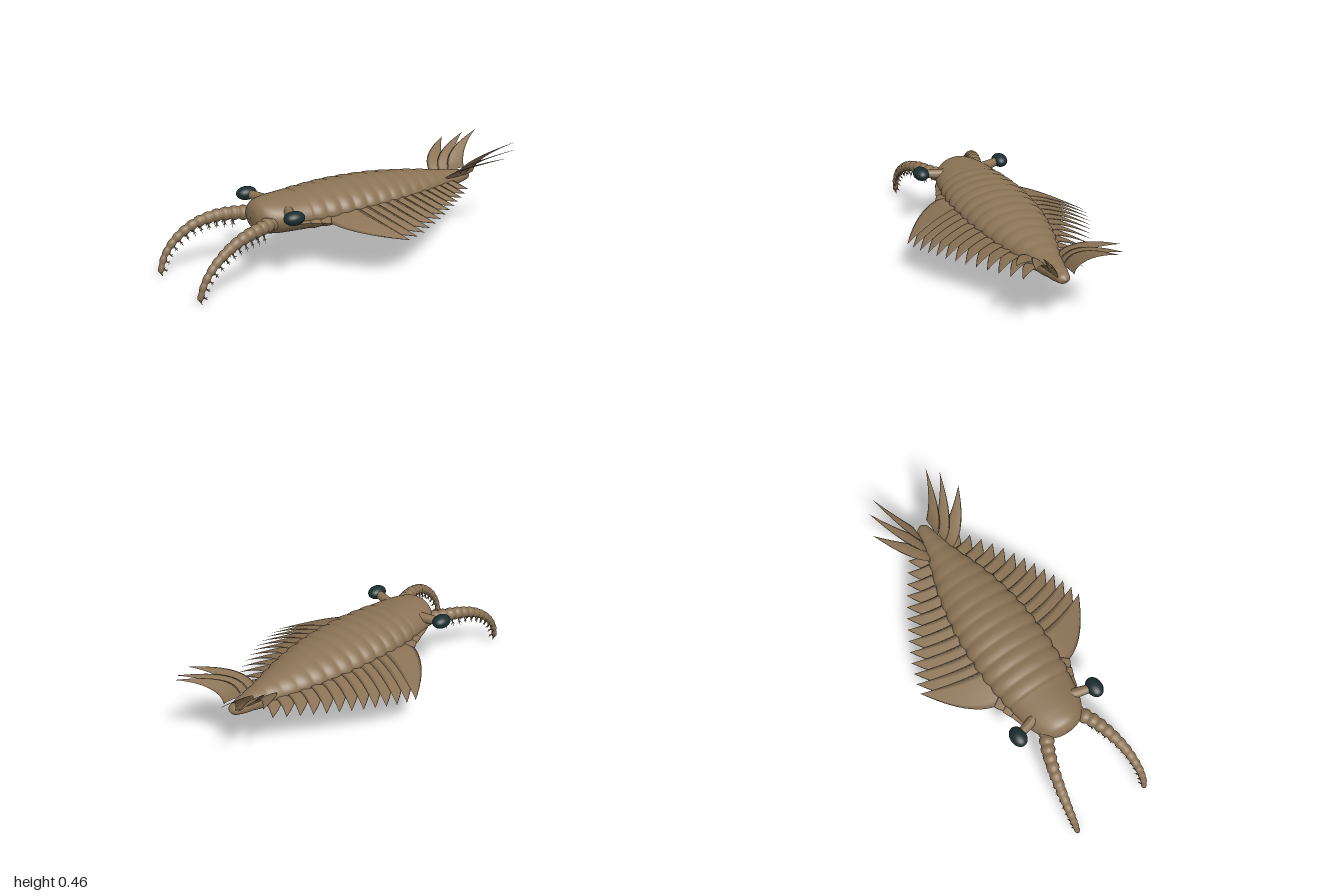
import * as THREE from 'three';

const brown = new THREE.MeshStandardMaterial({ color: 0x8b7355 });
brown.name = 'shell brown';
const dark = new THREE.MeshStandardMaterial({ color: 0x1c2e30 });
dark.name = 'eye dark teal';

const V = (x, y, z) => new THREE.Vector3(x, y, z);

// Closed skin over a list of rings, each with the same number of points
function loft(rings) {
  const n = rings[0].length, pos = [], idx = [];
  rings.forEach(r => r.forEach(p => pos.push(p.x, p.y, p.z)));
  for (let i = 0; i < rings.length - 1; i++) {
    for (let j = 0; j < n; j++) {
      const a = i * n + j, b = i * n + (j + 1) % n, c = a + n, d = b + n;
      idx.push(a, b, c, b, d, c);
    }
  }
  const g = new THREE.BufferGeometry();
  g.setAttribute('position', new THREE.Float32BufferAttribute(pos, 3));
  g.setIndex(idx);
  g.computeVertexNormals();
  return g;
}

function ring(n, fn) {
  return Array.from({ length: n }, (_, j) => {
    const a = j / n * Math.PI * 2;
    return fn(Math.cos(a), Math.sin(a));
  });
}

function add(parent, name, geo, mat = brown) {
  const m = new THREE.Mesh(geo, mat);
  m.name = name;
  parent.add(m);
  return m;
}

// Cone from a point along a direction
function spike(parent, name, from, dir, length, radius) {
  const d = dir.clone().normalize();
  const m = add(parent, name, new THREE.ConeGeometry(radius, length, 6));
  m.position.copy(from).addScaledVector(d, length / 2);
  m.quaternion.setFromUnitVectors(V(0, 1, 0), d);
  return m;
}

// Body profile: x, half width, half height
const profile = new THREE.CatmullRomCurve3([
  [-0.582, 0.002, 0.002], [-0.572, 0.065, 0.05], [-0.545, 0.108, 0.08], [-0.48, 0.148, 0.092],
  [-0.35, 0.178, 0.096], [-0.15, 0.202, 0.104], [0, 0.203, 0.105], [0.2, 0.187, 0.098],
  [0.4, 0.145, 0.083], [0.6, 0.08, 0.058], [0.74, 0.045, 0.036], [0.79, 0.031, 0.024],
  [0.81, 0.002, 0.002]].map(p => V(...p)));
const samples = profile.getPoints(288);
const midY = x => 0.302 - 0.02 * THREE.MathUtils.smoothstep(x, 0, 0.8);
const halfWidth = x => samples.find(p => p.x >= x).y;

function bodyGeometry() {
  return loft(samples.map(p => {
    // scalloped segments behind the smooth head
    const k = p.x > -0.32 && p.x < 0.79
      ? 0.955 + 0.055 * Math.abs(Math.sin((p.x + 0.32) / 0.078 * Math.PI)) : 0.985;
    return ring(48, (c, s) => V(p.x, midY(p.x) + p.z * k * c, p.y * k * s));
  }));
}

// Thin swept blade: root chord narrowing to a pointed tip
function blade({ x, z, y, chord, tip, rise, pitch, sweep = 2, thick = 0.005 }) {
  const N = 14, rings = [];
  for (let i = 0; i <= N; i++) {
    const s = i / N;
    const lead = x + (tip.x - x) * s ** sweep;
    const trail = x + chord + (tip.x - x - chord) * s ** 1.5;
    const half = Math.max((trail - lead) / 2, 0.0005), mid = (lead + trail) / 2;
    const py = y + (tip.y - y) * s ** rise;
    const t = thick * (1 - 0.85 * s);
    rings.push(ring(8, (c, q) => V(mid + half * c, py + pitch * half * c + t * q, z + (tip.z - z) * s)));
  }
  return loft(rings);
}

function buildSide(side) {
  // Small flaps beside the head
  for (let i = 0; i < 4; i++) {
    const x = -0.46 + 0.06 * i, z = halfWidth(x) * 0.88;
    add(side, 'headFlap', blade({
      x, z, y: 0.296, chord: 0.12, rise: 1.2, pitch: 0.12,
      tip: V(-0.35 + 0.045 * i, 0.285 - 0.004 * i, 0.195 + 0.02 * i),
    }));
  }

  // Overlapping swimming flaps, shorter toward the tail
  for (let i = 0; i < 13; i++) {
    const t = i / 12, x = -0.27 + 0.82 * t, z = halfWidth(x + 0.05) * 0.88;
    const tipZ = 0.5 - 0.34 * t ** 1.4, y = midY(x) - 0.003;
    add(side, 'swimmingFlap', blade({
      x, z, y, chord: 0.2 - 0.1 * t, rise: 1.3, pitch: 0.12,
      tip: V(0.03 + 0.65 * t, y - 0.27 * (tipZ - z), tipZ),
    }));
  }

  // Raised tail fan
  [[0.59, 0.06, 0.83, 0.43, 0.265], [0.645, 0.05, 0.94, 0.45, 0.22], [0.7, 0.04, 0.99, 0.472, 0.165]]
    .forEach(([x, z, tx, ty, tz]) => add(side, 'tailBlade', blade({
      x, z, y: midY(x) + 0.02, chord: 0.11, rise: 0.7, pitch: 0.1, tip: V(tx, ty, tz), thick: 0.006,
    })));

  // Eye on a short stalk
  const stalk = add(side, 'eyeStalk', new THREE.CylinderGeometry(0.022, 0.028, 0.12, 16));
  const from = V(-0.435, 0.34, 0.11), to = V(-0.467, 0.346, 0.22);
  stalk.position.copy(from).lerp(to, 0.5);
  stalk.quaternion.setFromUnitVectors(V(0, 1, 0), to.clone().sub(from).normalize());
  const eyeGeo = new THREE.IcosahedronGeometry(1, 6);
  eyeGeo.computeVertexNormals(); // small facets
  const eye = add(side, 'eye', eyeGeo, dark);
  eye.position.set(-0.472, 0.347, 0.233);
  eye.scale.set(0.056, 0.035, 0.042);

  // Curved, jointed grasping arm
  const path = new THREE.CatmullRomCurve3([
    [-0.5, 0.29, 0.085], [-0.6, 0.293, 0.138], [-0.7, 0.285, 0.172], [-0.8, 0.255, 0.196],
    [-0.9, 0.188, 0.21], [-0.96, 0.11, 0.213], [-0.986, 0.03, 0.21]].map(p => V(...p)));
  const joints = 14, steps = joints * 8, rings = [];
  const frame = t => {
    const T = path.getTangentAt(t);
    const v = V(0, 0, 1).addScaledVector(T, -T.z).normalize();
    return { p: path.getPointAt(t), T, v, u: v.clone().cross(T) };
  };
  const radius = t => 0.042 - 0.028 * t;
  for (let i = 0; i <= steps; i++) {
    const t = i / steps, { p, u, v } = frame(t);
    const bead = 0.8 + 0.2 * Math.abs(Math.sin(t * joints * Math.PI));
    const r = i === steps ? 0.001 : radius(t) * bead;
    rings.push(ring(16, (c, s) => p.clone().addScaledVector(u, r * c).addScaledVector(v, r * s)));
  }
  add(side, 'graspingArm', loft(rings));

  // Paired barbed spines along the inner curve
  for (let i = 2; i < joints; i++) {
    const t = (i + 0.5) / joints, { p, T, u, v } = frame(t);
    const len = 0.058 - 0.03 * t;
    for (const k of [-1, 1]) {
      const dir = u.clone().addScaledVector(v, 0.45 * k).addScaledVector(T, 0.2).normalize();
      const base = p.clone().addScaledVector(dir, radius(t) * 0.75);
      spike(side, 'armSpine', base, dir, len, 0.0055);
      for (const b of [-1, 1]) {
        const barb = dir.clone().addScaledVector(T, 0.9 * b);
        spike(side, 'spineBarb', base.clone().addScaledVector(dir, len * 0.4), barb, len * 0.42, 0.003);
      }
    }
  }
  // Claw at the arm tip
  const end = frame(0.99);
  spike(side, 'armClaw', end.p, end.T.clone().addScaledVector(end.u, 0.8), 0.03, 0.008);
}

export function createModel() {
  const model = new THREE.Group();
  model.name = 'swimmingArthropod';
  add(model, 'body', bodyGeometry());
  for (const sign of [1, -1]) {
    const side = new THREE.Group();
    side.name = sign > 0 ? 'frontSide' : 'backSide';
    buildSide(side);
    side.scale.z = sign;
    model.add(side);
  }
  return model;
}
